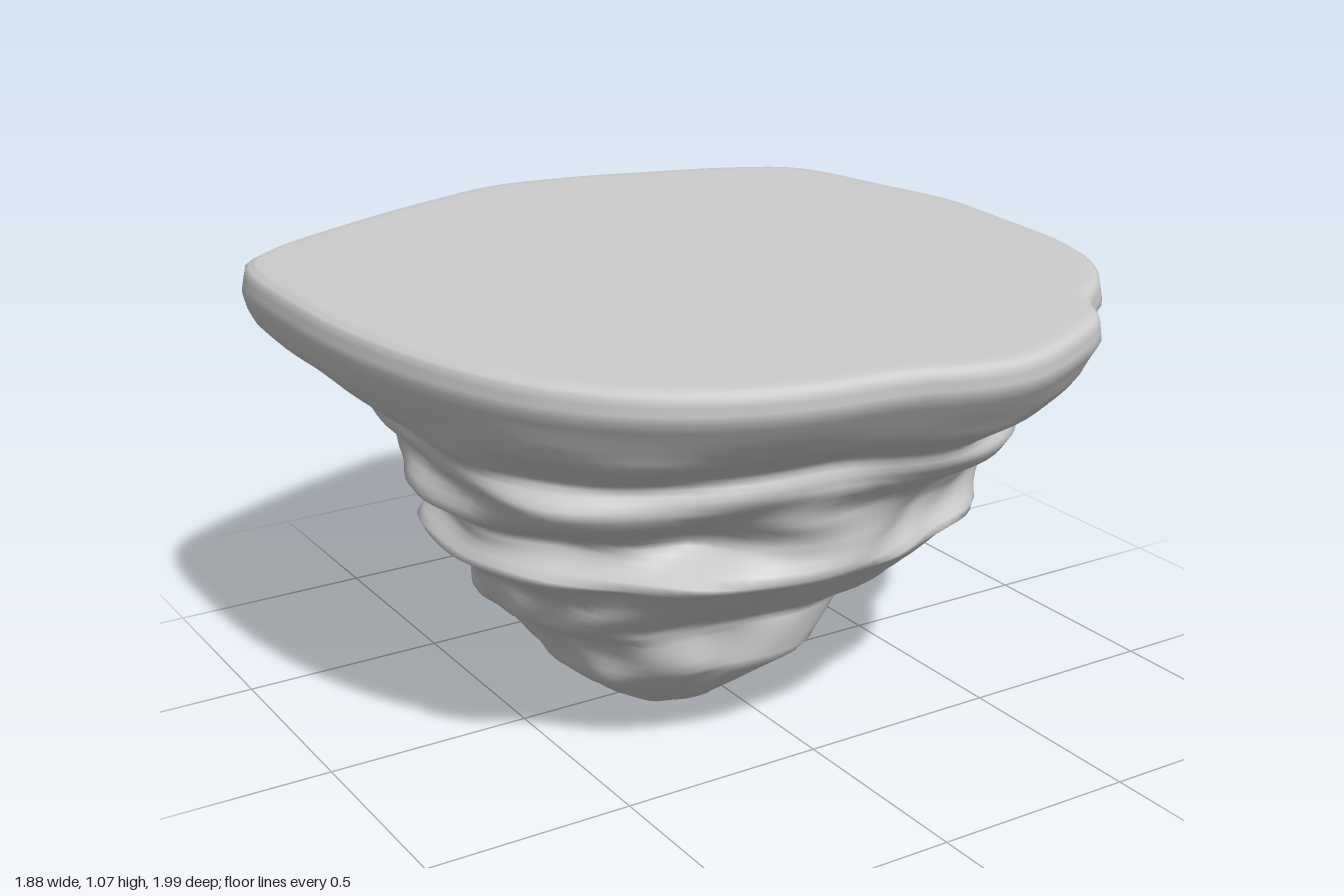
import * as THREE from 'three';

// Plan outline of the plateau: x, z, clockwise from the back
const OUTLINE = [
  [0, -1], [0.22, -0.97], [0.4, -0.92], [0.62, -0.85], [0.78, -0.76], [0.83, -0.68], [0.88, -0.45],
  [0.93, -0.2], [0.915, 0.05], [0.88, 0.33], [0.82, 0.47], [0.72, 0.6], [0.6, 0.7], [0.52, 0.82],
  [0.38, 0.91], [0.22, 0.98], [0.13, 0.99], [0.02, 0.97], [-0.08, 0.935], [-0.28, 0.91], [-0.45, 0.86],
  [-0.62, 0.76], [-0.75, 0.61], [-0.84, 0.42], [-0.9, 0.2], [-0.93, 0], [-0.94, -0.2], [-0.92, -0.56],
  [-0.86, -0.65], [-0.48, -0.85], [-0.22, -0.95], [-0.1, -0.99],
];

// Plateau, rim and rock strata downwards: y, xMin, xMax, zMin, zMax
const STRATA = [
  [1.065, -0.82, 0.81, -0.87, 0.87], [1.065, -0.905, 0.895, -0.965, 0.975],
  [1.05, -0.93, 0.92, -0.99, 1],
  [1.0, -0.94, 0.935, -0.995, 1], [0.93, -0.92, 0.92, -1, 0.95],
  [0.88, -0.89, 0.89, -0.97, 0.91], [0.84, -0.85, 0.85, -0.87, 0.84],
  [0.8, -0.79, 0.8, -0.76, 0.77], [0.76, -0.78, 0.84, -0.72, 0.77],
  [0.72, -0.74, 0.82, -0.69, 0.74], [0.66, -0.76, 0.74, -0.62, 0.66],
  [0.6, -0.66, 0.7, -0.6, 0.63], [0.56, -0.66, 0.66, -0.6, 0.64],
  [0.51, -0.7, 0.63, -0.61, 0.67], [0.47, -0.64, 0.55, -0.54, 0.59],
  [0.42, -0.58, 0.43, -0.47, 0.52], [0.37, -0.57, 0.4, -0.37, 0.45],
  [0.32, -0.56, 0.31, -0.33, 0.37], [0.28, -0.49, 0.27, -0.31, 0.36],
  [0.2, -0.44, 0.22, -0.25, 0.36], [0.15, -0.42, 0.13, -0.19, 0.31],
  [0.1, -0.36, 0.06, -0.18, 0.26], [0.05, -0.28, 0, -0.15, 0.2],
  [0.015, -0.23, -0.05, -0.11, 0.13],
];

// Local hollows and knobs: angle, y, angular width, height, amount
const FEATURES = [
  [-2.1, 0.66, 0.42, 0.15, -0.25], [-2.5, 0.87, 0.35, 0.09, -0.08], [1.05, 0.57, 0.35, 0.11, -0.06],
  [1.75, 0.62, 0.2, 0.08, 0.06], [2.15, 0.59, 0.16, 0.05, -0.08], [2.4, 0.71, 0.35, 0.06, 0.12],
  [-0.8, 0.28, 0.4, 0.1, 0.12], [1.2, 0.27, 0.3, 0.05, 0.05], [2.6, 0.24, 0.3, 0.05, -0.05],
];

const SEGMENTS = 112;
const STEPS = 3;
const { lerp, clamp, smoothstep } = THREE.MathUtils;

// Profile at a fractional stratum index
function stratumAt(t) {
  const i = Math.min(Math.floor(t), STRATA.length - 2);
  const f = clamp(t - i, 0, 1);
  return STRATA[i].map((v, k) => lerp(v, STRATA[i + 1][k], f));
}

// Relative swelling of the rock at an angle and height
function relief(angle, y) {
  let r = 0.02 * Math.sin(5 * angle + 9 * y) + 0.01 * Math.sin(9 * angle - 23 * y + 1)
    + 0.006 * Math.sin(14 * angle + 31 * y);
  for (const [a, fy, wa, wy, amount] of FEATURES) {
    const d = Math.atan2(Math.sin(angle - a), Math.cos(angle - a)) / wa;
    r += amount * Math.exp(-d * d - ((y - fy) / wy) ** 2);
  }
  return r * smoothstep(0.98 - y, 0, 0.18);
}

export function createModel() {
  const group = new THREE.Group();
  group.name = 'floatingIsland';

  const curve = new THREE.CatmullRomCurve3(
    OUTLINE.map(([x, z]) => new THREE.Vector3(x, 0, z)), true);
  const plan = curve.getSpacedPoints(SEGMENTS).slice(0, SEGMENTS);

  // Rings that fade from the plateau outline to an oval, squarer near the foot
  const positions = [];
  const index = [];
  const rings = (STRATA.length - 1) * STEPS + 1;
  for (let j = 0; j < rings; j++) {
    const level = j / STEPS;
    const height = stratumAt(level)[0];
    const oval = smoothstep(1 - height, 0.1, 0.5);
    const power = lerp(2.9, 2, smoothstep(height, 0.3, 0.55));
    const wander = smoothstep(0.95 - height, 0, 0.2) * smoothstep(height, 0.02, 0.2);
    for (const p of plan) {
      const u = p.x / 0.935, v = p.z;
      const angle = Math.atan2(v, u);
      // Beds rise and dip slightly around the rock
      const shift = wander * 0.3 * Math.sin(3 * angle + 4 * height);
      const [, x0, x1, z0, z1] = stratumAt(level + shift);
      const toOval = (Math.abs(u) ** power + Math.abs(v) ** power) ** (-1 / power);
      const k = lerp(1, toOval, oval) * (1 + relief(angle, height));
      positions.push(
        (x0 + x1) / 2 + u * k * (x1 - x0) / 2,
        height,
        (z0 + z1) / 2 + v * k * (z1 - z0) / 2);
    }
  }
  // Centres of the plateau and of the rounded tip underneath
  const top = rings * SEGMENTS, tip = top + 1, last = top - SEGMENTS;
  positions.push(0, STRATA[0][0], 0, -0.15, 0, 0);

  for (let i = 0; i < SEGMENTS; i++) {
    const n = (i + 1) % SEGMENTS;
    index.push(top, n, i, last + i, last + n, tip);
    for (let j = 0; j < rings - 1; j++) {
      const a = j * SEGMENTS + i, b = j * SEGMENTS + n;
      index.push(a, b, a + SEGMENTS, b, b + SEGMENTS, a + SEGMENTS);
    }
  }

  const geometry = new THREE.BufferGeometry();
  geometry.setAttribute('position', new THREE.Float32BufferAttribute(positions, 3));
  geometry.setIndex(index);
  geometry.computeVertexNormals();
  const rock = new THREE.Mesh(geometry, new THREE.MeshStandardMaterial({ color: 0xcccccc }));
  rock.name = 'layeredRock';
  group.add(rock);
  return group;
}
